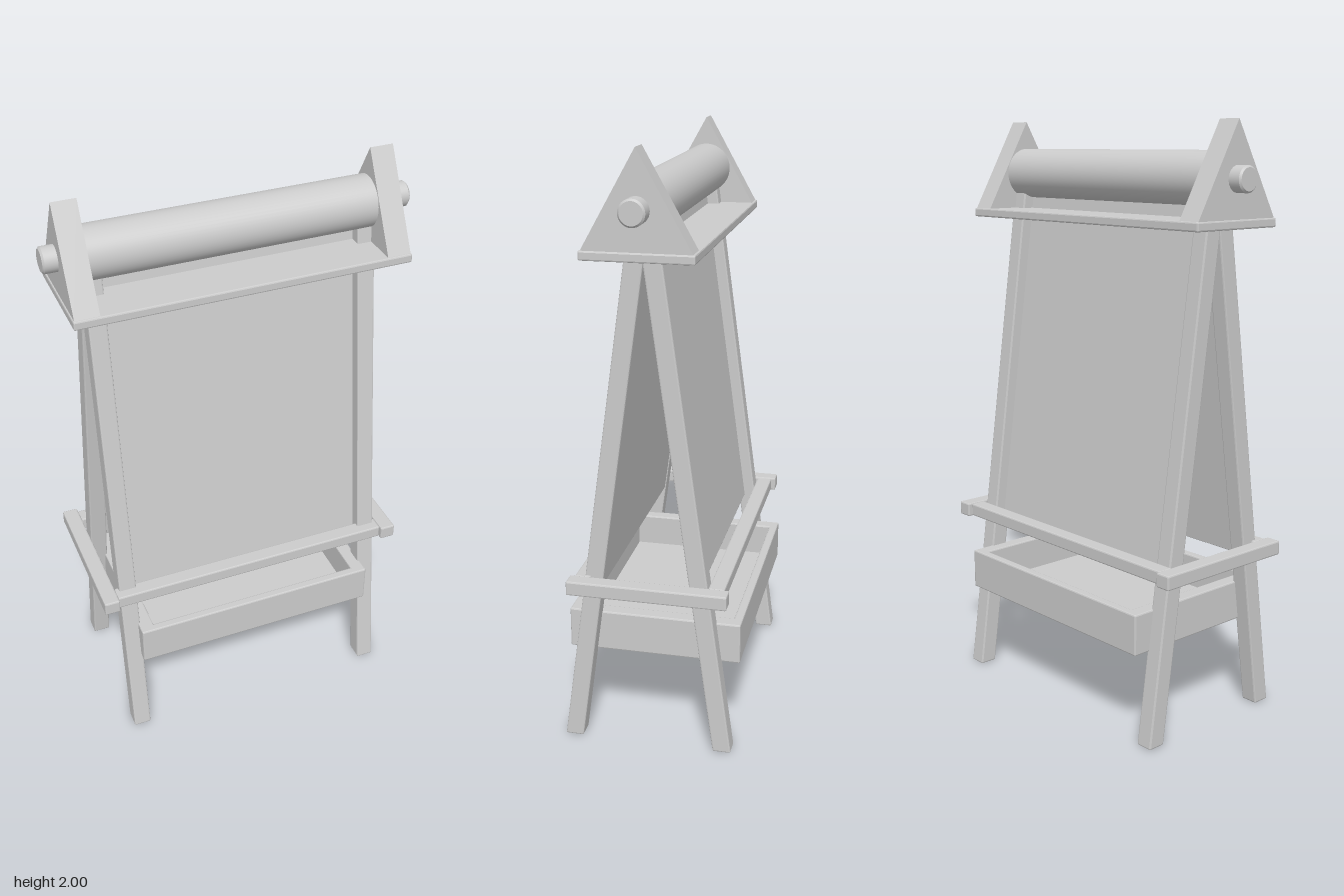
import * as THREE from 'three';
import { RoundedBoxGeometry } from 'three/addons/geometries/RoundedBoxGeometry.js';

const wood = new THREE.MeshStandardMaterial({ color: 0xcccccc, flatShading: true });
const smooth = new THREE.MeshStandardMaterial({ color: 0xcccccc });

const CX = -0.0075; // middle of the frame in x
const CZ = 0.008;   // middle of the A-frame in z
const LEAN = 0.1374; // how far the legs lean in per unit of height

export function createModel() {
  const group = new THREE.Group();

  const add = (name, geometry, material = wood) => {
    const mesh = new THREE.Mesh(geometry, material);
    mesh.name = name;
    group.add(mesh);
    return mesh;
  };

  // Box with a small chamfer, given by its extents
  const boxGeometry = (x0, x1, y0, y1, z0, z1, bevel = 0.005) => {
    const g = new RoundedBoxGeometry(x1 - x0, y1 - y0, z1 - z0, 1, bevel);
    return g.translate((x0 + x1) / 2, (y0 + y1) / 2, (z0 + z1) / 2);
  };
  const box = (name, ...extents) => add(name, boxGeometry(...extents));

  // Slide each level of a box along z so that it leans towards the top
  const lean = (geometry, side) => {
    const p = geometry.attributes.position;
    for (let i = 0; i < p.count; i++) {
      p.setZ(i, p.getZ(i) + CZ + side * (0.257 - LEAN * p.getY(i)));
    }
    geometry.computeVertexNormals();
    return geometry;
  };

  // Two leaning faces: a pair of legs with a recessed board between them
  for (const [side, label] of [[1, 'front'], [-1, 'back']]) {
    for (const [sx, hand] of [[1, 'Left'], [-1, 'Right']]) {
      const x = CX + sx * 0.458;
      add(label + hand + 'Leg',
        lean(boxGeometry(x - 0.0305, x + 0.0305, 0, 1.76, -0.031, 0.031), side));
    }
    const zc = -side * 0.018;
    add(label + 'Board',
      lean(boxGeometry(CX - 0.43, CX + 0.43, 0.565, 1.76, zc - 0.009, zc + 0.009, 0.002), side));
    // Ledge rail across each face
    const zr = -0.005 + side * 0.223;
    box(label + 'Rail', CX - 0.502, CX + 0.502, 0.565, 0.61, zr - 0.027, zr + 0.027);
  }

  // Side rails, end brackets
  const triangle = new THREE.Shape([
    new THREE.Vector2(-0.172, 1.695),
    new THREE.Vector2(0.172, 1.695),
    new THREE.Vector2(0, 2.0),
  ]);
  for (const [sx, hand] of [[1, 'left'], [-1, 'right']]) {
    const xr = CX + sx * 0.5285;
    box(hand + 'SideRail', xr - 0.027, xr + 0.027, 0.563, 0.612, -0.271, 0.26);

    const bracket = new THREE.ExtrudeGeometry(triangle, { depth: 0.08, bevelEnabled: false });
    bracket.translate(0, 0, -0.04).rotateY(Math.PI / 2).translate(CX + sx * 0.516, 0, 0.01);
    add(hand + 'RollBracket', bracket);
  }

  // Top shelf
  box('topShelf', -0.568, 0.553, 1.667, 1.697, -0.168, 0.188);

  // Paper roll and its axle
  const rod = (name, radius, length, x) => {
    const g = new THREE.CylinderGeometry(radius, radius, length, 48);
    g.rotateZ(Math.PI / 2).translate(x, 1.82, 0.009);
    add(name, g, smooth);
  };
  rod('paperRoll', 0.086, 0.955, CX);
  // Axle with slightly chamfered ends
  const h = 0.609, r = 0.042;
  const axle = new THREE.LatheGeometry([
    [0, -h], [r - 0.006, -h], [r - 0.006, -h], [r, -h + 0.006], [r, -h + 0.006],
    [r, h - 0.006], [r, h - 0.006], [r - 0.006, h], [r - 0.006, h], [0, h],
  ].map(([a, b]) => new THREE.Vector2(a, b)), 32);
  axle.rotateZ(Math.PI / 2).translate(-0.002, 1.82, 0.009);
  add('rollAxle', axle, smooth);

  // Open storage tray between the legs
  const [tx0, tx1, ty0, ty1, tz0, tz1] = [-0.443, 0.43, 0.315, 0.455, -0.298, 0.285];
  const wall = 0.03, side = 0.05;
  box('trayFloor', tx0 + 0.01, tx1 - 0.01, ty0, ty0 + 0.025, tz0 + 0.01, tz1 - 0.01, 0.002);
  box('trayFrontWall', tx0, tx1, ty0, ty1, tz1 - wall, tz1);
  box('trayBackWall', tx0, tx1, ty0, ty1, tz0, tz0 + wall);
  box('trayRightWall', tx0, tx0 + side, ty0, ty1, tz0 + 0.01, tz1 - 0.01);
  box('trayLeftWall', tx1 - side, tx1, ty0, ty1, tz0 + 0.01, tz1 - 0.01);

  return group;
}
